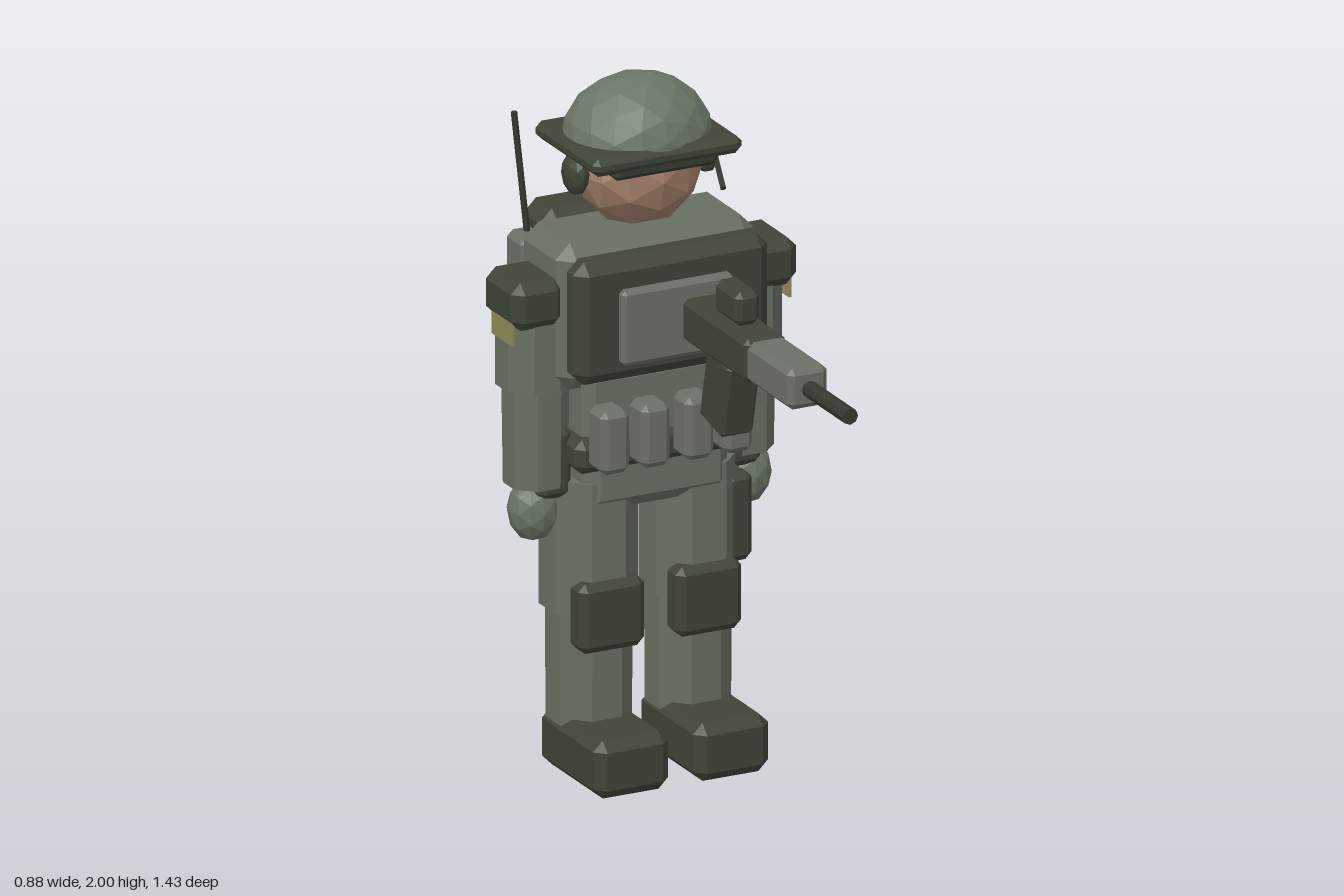
import * as THREE from 'three';
import { ConvexGeometry } from 'three/addons/geometries/ConvexGeometry.js';

const flat = (name, color) => {
  const m = new THREE.MeshStandardMaterial({ color, flatShading: true });
  m.name = name;
  return m;
};

export function createModel() {
  const cloth = flat('grey green cloth', 0x666f61);
  const dark = flat('dark green gear', 0x3e4437);
  const pouchGrey = flat('light gear', 0x697066);
  const helmetGreen = flat('helmet green', 0x6a7667);
  const skin = flat('skin', 0x9f7b67);
  const olive = flat('olive patch', 0x8c8b58);
  const metal = flat('dark metal', 0x343a30);

  const model = new THREE.Group();
  model.name = 'soldier';
  const Z = -0.42; // body axis

  const add = (name, geometry, material, x = 0, y = 0, z = 0) => {
    const mesh = new THREE.Mesh(geometry, material);
    mesh.name = name;
    mesh.position.set(x, y, z);
    model.add(mesh);
    return mesh;
  };

  // Box with chamfered edges, given by its extents
  const block = (name, mat, [x0, x1], [y0, y1], [z0, z1], b = 0.02) => {
    const h = [(x1 - x0) / 2, (y1 - y0) / 2, (z1 - z0) / 2];
    const pts = [];
    for (const sx of [-1, 1]) for (const sy of [-1, 1]) for (const sz of [-1, 1])
      for (let k = 0; k < 3; k++) {
        const c = h.map((v, i) => (i === k ? v : v - b));
        pts.push(new THREE.Vector3(sx * c[0], sy * c[1], sz * c[2]));
      }
    return add(name, new ConvexGeometry(pts), mat, (x0 + x1) / 2, (y0 + y1) / 2, (z0 + z1) / 2);
  };

  // Upright eight-sided limb; r is measured to the flats
  const limb = (name, mat, x, y0, y1, rTop, rBottom) => {
    const k = 1 / Math.cos(Math.PI / 8);
    const g = new THREE.CylinderGeometry(rTop * k, rBottom * k, y1 - y0, 8).rotateY(Math.PI / 8);
    return add(name, g, mat, x, (y0 + y1) / 2, Z);
  };

  const ball = (rx, ry, rz, detail = 1) => new THREE.IcosahedronGeometry(1, detail).scale(rx, ry, rz);

  // Thin rod between two points
  const rod = (name, mat, a, b, r, sides = 6) => {
    const p = new THREE.Vector3(...a), q = new THREE.Vector3(...b);
    const dir = q.clone().sub(p);
    const mesh = add(name, new THREE.CylinderGeometry(r, r, dir.length(), sides), mat);
    mesh.position.copy(p).add(q).multiplyScalar(0.5);
    mesh.quaternion.setFromUnitVectors(new THREE.Vector3(0, 1, 0), dir.normalize());
    return mesh;
  };

  // Mirrored span on the given side
  const span = (s, a, b) => (s > 0 ? [a, b] : [-b, -a]);

  // Torso and hips
  block('torso', cloth, [-0.305, 0.305], [1.15, 1.58], [-0.56, -0.28], 0.045);
  block('waist', cloth, [-0.23, 0.23], [0.95, 1.2], [-0.55, -0.285], 0.03);
  block('hips', cloth, [-0.225, 0.225], [0.78, 0.96], [-0.55, -0.285], 0.04);
  block('belt', dark, [-0.265, 0.265], [0.91, 1.01], [-0.58, -0.265], 0.025);

  // Vest
  block('chestPlate', dark, [-0.3, 0.3], [1.195, 1.555], [-0.3, -0.195], 0.035);
  block('chestPanel', pouchGrey, [-0.175, 0.17], [1.25, 1.47], [-0.24, -0.168], 0.012);
  for (const x of [-0.19, -0.065, 0.07, 0.19])
    block('ammoPouch', pouchGrey, [x - 0.045, x + 0.045], [0.935, 1.12], [-0.275, -0.175], 0.018);

  // Head and helmet
  add('head', ball(0.18, 0.165, 0.158), skin, 0, 1.73, Z);
  const dome = ball(0.215, 0.18, 0.193, 2);
  const p = dome.attributes.position;
  for (let i = 0; i < p.count; i++) p.setY(i, Math.max(p.getY(i), -0.02));
  dome.computeVertexNormals();
  add('helmet', dome, helmetGreen, 0, 1.82, -0.427);
  block('helmetBrim', dark, [-0.23, 0.23], [1.79, 1.842], [-0.61, -0.23], 0.018);
  block('goggles', metal, [-0.16, 0.16], [1.765, 1.805], [-0.34, -0.245], 0.012);
  rod('microphoneBoom', metal, [0.2, 1.77, -0.36], [0.165, 1.7, -0.23], 0.009);

  for (const s of [1, -1]) {
    // Headset
    add('earCup', ball(0.034, 0.062, 0.056), dark, s * 0.2, 1.745, -0.41);

    // Arms
    limb('upperArm', cloth, s * 0.328, 1.15, 1.47, 0.095, 0.095);
    limb('forearm', cloth, s * 0.318, 0.86, 1.17, 0.087, 0.083);
    add('hand', ball(0.073, 0.095, 0.072), helmetGreen, s * 0.328, 0.785, -0.415);
    block('shoulderPad', dark, span(s, 0.28, 0.44), [1.345, 1.485], [-0.51, -0.3], 0.03);
    const patch = new THREE.BoxGeometry(0.009, 0.08, 0.12);
    add('armPatch', patch, olive, s * 0.428, 1.34, -0.4);

    // Belt side pouches
    block('sidePouch', dark, span(s, 0.24, 0.345), [0.825, 1.03], [-0.5, -0.34], 0.02);

    // Legs
    limb('thigh', cloth, s * 0.155, 0.48, 0.87, 0.127, 0.127);
    limb('shin', cloth, s * 0.153, 0.1, 0.5, 0.112, 0.11);
    block('kneePad', dark, span(s, 0.048, 0.252), [0.38, 0.585], [-0.36, -0.27], 0.022);
    block('boot', dark, span(s, 0.038, 0.27), [0, 0.17], [-0.505, -0.135], 0.03);
  }
  block('holster', dark, [0.225, 0.31], [0.555, 0.815], [-0.475, -0.322], 0.02);

  // Backpack and radio
  block('backpack', dark, [-0.225, 0.225], [1.115, 1.585], [-0.717, -0.54], 0.04);
  block('radio', pouchGrey, [-0.295, -0.2], [1.25, 1.52], [-0.655, -0.54], 0.018);
  rod('antenna', metal, [-0.245, 1.5, -0.61], [-0.287, 1.875, -0.61], 0.009);

  // Rifle
  block('rifleBody', dark, [0.01, 0.138], [1.295, 1.42], [-0.2, 0.21], 0.015);
  block('rifleHandguard', pouchGrey, [0.012, 0.136], [1.298, 1.418], [0.2, 0.47], 0.018);
  rod('rifleBarrel', metal, [0.074, 1.357, 0.46], [0.074, 1.357, 0.717], 0.024, 8);
  block('rifleSight', dark, [0.036, 0.112], [1.42, 1.52], [-0.04, 0.108], 0.018);
  const magazine = block('rifleMagazine', dark, [0.022, 0.126], [1.085, 1.315], [-0.08, 0.06], 0.012);
  magazine.rotation.x = 0.22;

  return model;
}
